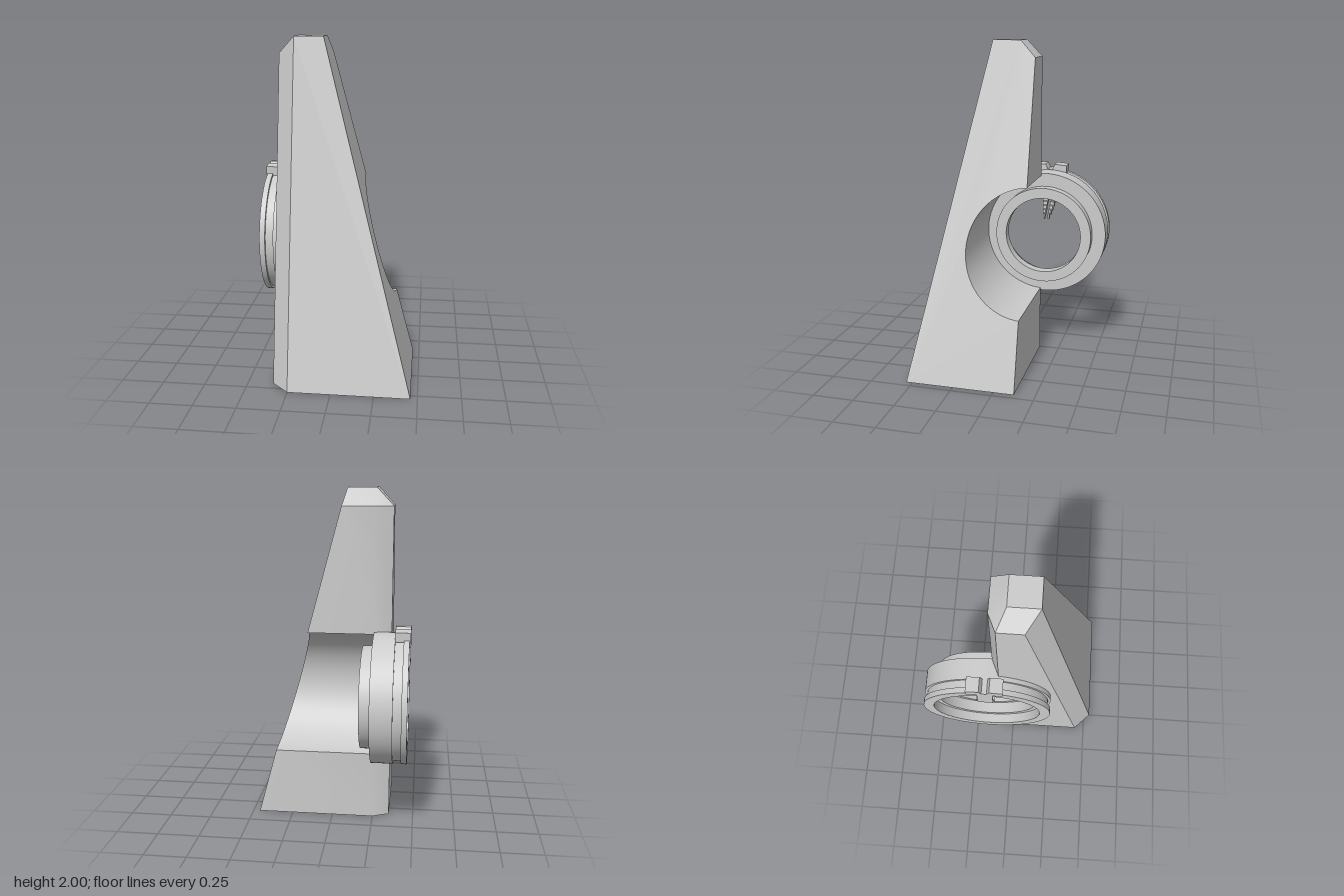
import * as THREE from 'three';
import { toCreasedNormals } from 'three/addons/utils/BufferGeometryUtils.js';

// axis of the ring and of the bore through the tower
const CY = 0.787, CZ = -0.152;
const BORE = 0.375;

function part(name, geometry) {
  const material = new THREE.MeshStandardMaterial({ color: 0xcccccc });
  const mesh = new THREE.Mesh(toCreasedNormals(geometry, 0.5), material);
  mesh.name = name;
  return mesh;
}

// side profile [z, y] of the tower with the round notch in its back edge
function towerProfile(front, back, backZ) {
  const points = [...front, ...back];
  const a0 = Math.acos((backZ - CZ) / BORE), steps = 40;
  for (let i = 0; i <= steps; i++) {
    const a = a0 - (2 * a0 * i) / steps;
    points.push([CZ + BORE * Math.cos(a), CY + BORE * Math.sin(a)]);
  }
  points.push([backZ, 0]);
  return points;
}

// skin matching sections along x and cap both ends
function loft(sections) {
  const n = sections[0].length, positions = [], index = [];
  sections.forEach((s) => s.forEach((p) => positions.push(...p)));
  for (let s = 0; s < sections.length - 1; s++) {
    for (let j = 0; j < n; j++) {
      const a = s * n + j, b = s * n + ((j + 1) % n);
      index.push(a, a + n, b, b, a + n, b + n);
    }
  }
  const cap = (section) => THREE.ShapeUtils.triangulateShape(
    section.map((p) => new THREE.Vector2(p[2], p[1])), []);
  const last = (sections.length - 1) * n;
  cap(sections[0]).forEach(([a, b, c]) => index.push(a, b, c));
  cap(sections[sections.length - 1]).forEach(([a, b, c]) => index.push(last + a, last + c, last + b));
  const g = new THREE.BufferGeometry();
  g.setAttribute('position', new THREE.Float32BufferAttribute(positions, 3));
  g.setIndex(index);
  return g;
}

function makeTower() {
  const full = towerProfile([[0.54, 0], [0.14, 2]], [[-0.03, 2], [-0.125, 1.9]], -0.125);
  const inset = towerProfile([[0.44, 0], [0.065, 1.9]], [[-0.03, 1.9], [-0.08, 1.9]], -0.08);
  return part('tower', loft([
    inset.map(([z, y]) => [-0.35, y, z]),
    full.map(([z, y]) => [-0.25, y, z]),
    full.map(([z, y]) => [0.46 - 0.27 * y, y, z]), // sloping side
  ]));
}

function makeRing() {
  // closed section [radius, x]: grooved outside, stepped bore inside
  const section = [
    [0.325, -0.458], [0.388, -0.458], [0.388, -0.425], [0.372, -0.425], [0.372, -0.377],
    [0.388, -0.377], [0.388, -0.248], [0.305, -0.248], [0.305, -0.183], [0.24, -0.183],
    [0.24, -0.25], [0.27, -0.25], [0.27, -0.33], [0.295, -0.33], [0.295, -0.4],
    [0.325, -0.4], [0.325, -0.458],
  ].map(([r, x]) => new THREE.Vector2(r, x));
  const g = new THREE.LatheGeometry(section, 80);
  g.rotateZ(-Math.PI / 2);
  const ring = part('ring', g);
  ring.position.set(0, CY, CZ);
  return ring;
}

function makeClip() {
  const clip = new THREE.Group();
  clip.name = 'clip';

  // bow-shaped saddle over the rim
  const bow = new THREE.Shape([
    [-0.05, 1.15], [-0.155, 1.155], [-0.26, 1.15], [-0.262, 1.205], [-0.185, 1.212],
    [-0.17, 1.178], [-0.14, 1.178], [-0.125, 1.212], [-0.048, 1.205],
  ].map(([z, y]) => new THREE.Vector2(z, y)));
  const g = new THREE.ExtrudeGeometry(bow, { depth: 0.09, bevelEnabled: false });
  g.rotateY(-Math.PI / 2);
  const saddle = part('clipSaddle', g);
  saddle.position.x = -0.375;
  clip.add(saddle);

  // plate hooking down over the rim face
  const hook = part('clipHook', new THREE.BoxGeometry(0.012, 0.18, 0.09));
  hook.position.set(-0.459, 1.09, CZ);
  clip.add(hook);

  // two serrated legs that taper while running inward and down
  const steps = 7;
  for (const side of [-1, 1]) {
    for (let i = 0; i < steps; i++) {
      const t = i / (steps - 1);
      const width = 0.043 - 0.032 * t;
      const tooth = part('clipTooth', new THREE.BoxGeometry(0.032, 0.034, width));
      tooth.position.set(-0.445 + 0.15 * t, 1.015 - 0.127 * t, CZ + side * (0.009 + width / 2));
      clip.add(tooth);
    }
  }
  return clip;
}

export function createModel() {
  const model = new THREE.Group();
  model.name = 'towerWithRing';
  model.add(makeTower(), makeRing(), makeClip());
  return model;
}
